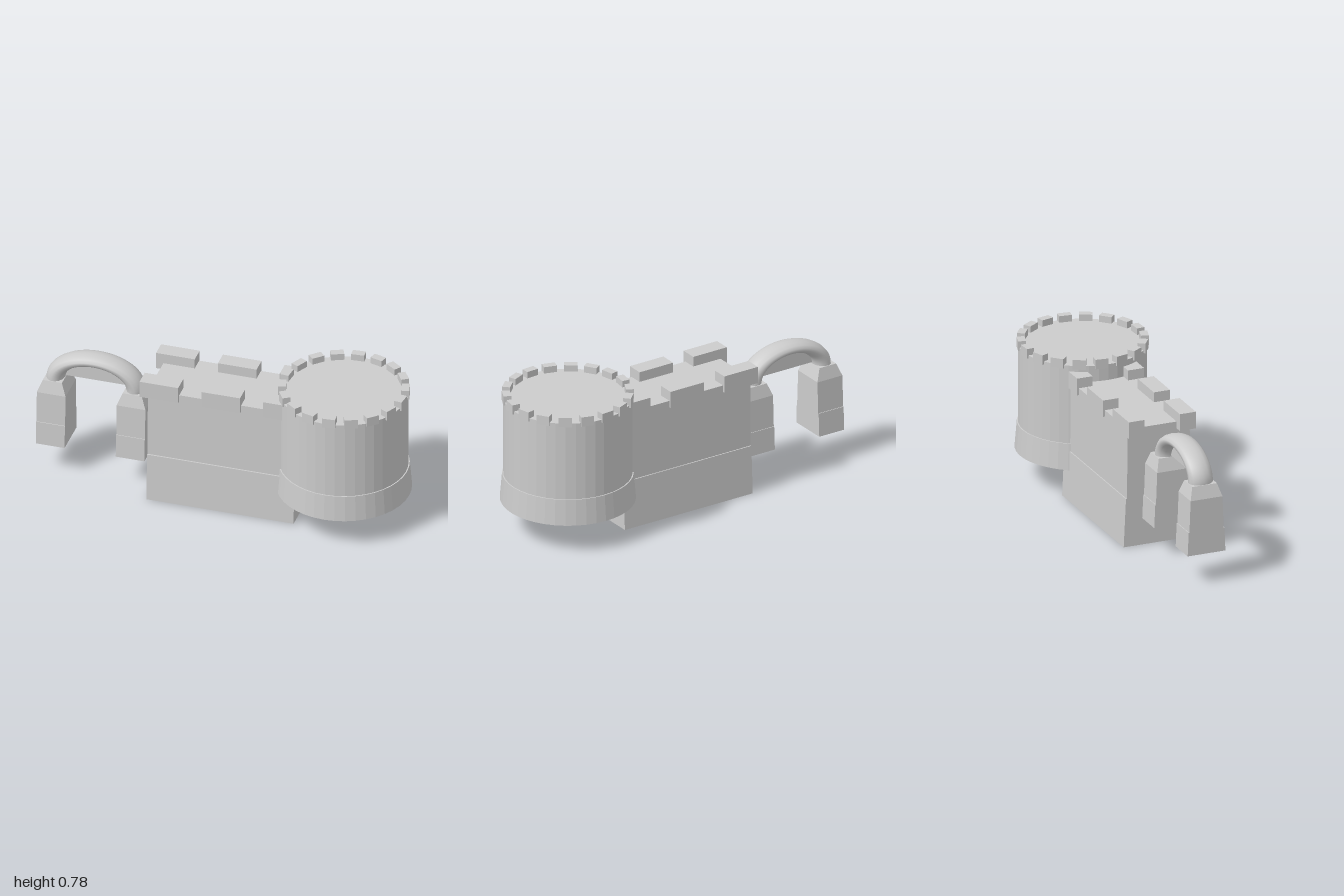
import * as THREE from 'three';

const material = new THREE.MeshStandardMaterial({ color: 0xcccccc, flatShading: true });
const smooth = new THREE.MeshStandardMaterial({ color: 0xcccccc });
const thin = new THREE.MeshStandardMaterial({ color: 0xcccccc, side: THREE.DoubleSide });

function add(parent, name, geometry, mat = material) {
  const mesh = new THREE.Mesh(geometry, mat);
  mesh.name = name;
  parent.add(mesh);
  return mesh;
}

function addGroup(parent, name) {
  const group = new THREE.Group();
  group.name = name;
  parent.add(group);
  return group;
}

// Block whose bottom and top rectangles [x0, x1, z0, z1] may differ
function block(y0, bottom, y1, top = bottom) {
  const geometry = new THREE.BoxGeometry(1, 1, 1);
  const p = geometry.attributes.position;
  for (let i = 0; i < p.count; i++) {
    const up = p.getY(i) > 0;
    const r = up ? top : bottom;
    p.setXYZ(i, p.getX(i) > 0 ? r[1] : r[0], up ? y1 : y0, p.getZ(i) > 0 ? r[3] : r[2]);
  }
  geometry.computeVertexNormals();
  return geometry;
}

function buildTower(root) {
  const tower = addGroup(root, 'tower');
  tower.position.x = 0.645;
  const base = add(tower, 'towerBase', new THREE.CylinderGeometry(0.342, 0.354, 0.143, 40));
  base.position.y = 0.2365;
  const body = add(tower, 'towerBody', new THREE.CylinderGeometry(0.336, 0.336, 0.437, 40));
  body.position.y = 0.5235;

  // Ring of battlements
  const count = 18;
  for (let i = 0; i < count; i++) {
    const a = THREE.MathUtils.degToRad(6.5) + (i / count) * Math.PI * 2;
    const merlon = add(tower, 'towerMerlon', new THREE.BoxGeometry(0.042, 0.053, 0.07));
    merlon.position.set(Math.cos(a) * 0.321, 0.7515, Math.sin(a) * 0.321);
    merlon.rotation.y = -a;
  }
}

function buildWall(root) {
  const wall = addGroup(root, 'wall');
  add(wall, 'wallBase', block(0, [-0.37, 0.43, -0.21, 0.19], 0.267, [-0.37, 0.43, -0.197, 0.177]));
  add(wall, 'wallBody', block(0.267, [-0.37, 0.43, -0.191, 0.169], 0.655, [-0.37, 0.43, -0.188, 0.163]));

  // Battlements along both long edges
  for (const [z0, z1] of [[-0.198, -0.11], [0.09, 0.181]]) {
    for (let i = 0; i < 3; i++) {
      const x = -0.41 + i * 0.336;
      add(wall, 'wallMerlon', block(0.617, [x, x + 0.21, z0, z1], 0.71));
    }
  }
}

function buildGate(root) {
  const gate = addGroup(root, 'archGate');
  gate.position.set(-0.706, 0, -0.016);

  // Posts: flared foot, shaft and bevelled cap
  for (const side of [-1, 1]) {
    const post = addGroup(gate, 'gatePost');
    const rect = (hx, hz) => [side * 0.217 - hx, side * 0.217 + hx, -hz, hz];
    add(post, 'postFoot', block(0.165, rect(0.078, 0.107), 0.295, rect(0.078, 0.101)));
    add(post, 'postShaft', block(0.295, rect(0.078, 0.097), 0.47, rect(0.078, 0.09)));
    add(post, 'postCap', block(0.47, rect(0.078, 0.09), 0.537, rect(0.052, 0.07)));
  }

  // Flattened half-ring arch
  const arch = add(gate, 'arch', new THREE.TorusGeometry(0.217, 0.05, 14, 28, Math.PI), smooth);
  arch.geometry.scale(1, 0.637, 1.34);
  arch.position.y = 0.535;

  // Thin panel filling the head of the arch
  const shape = new THREE.Shape();
  shape.absellipse(0, 0, 0.19, 0.115, 0, Math.PI, false);
  const panel = add(gate, 'archPanel', new THREE.ShapeGeometry(shape, 16), thin);
  panel.position.y = 0.545;
}

export function createModel() {
  const root = new THREE.Group();
  root.name = 'castleWall';
  buildTower(root);
  buildWall(root);
  buildGate(root);
  return root;
}
